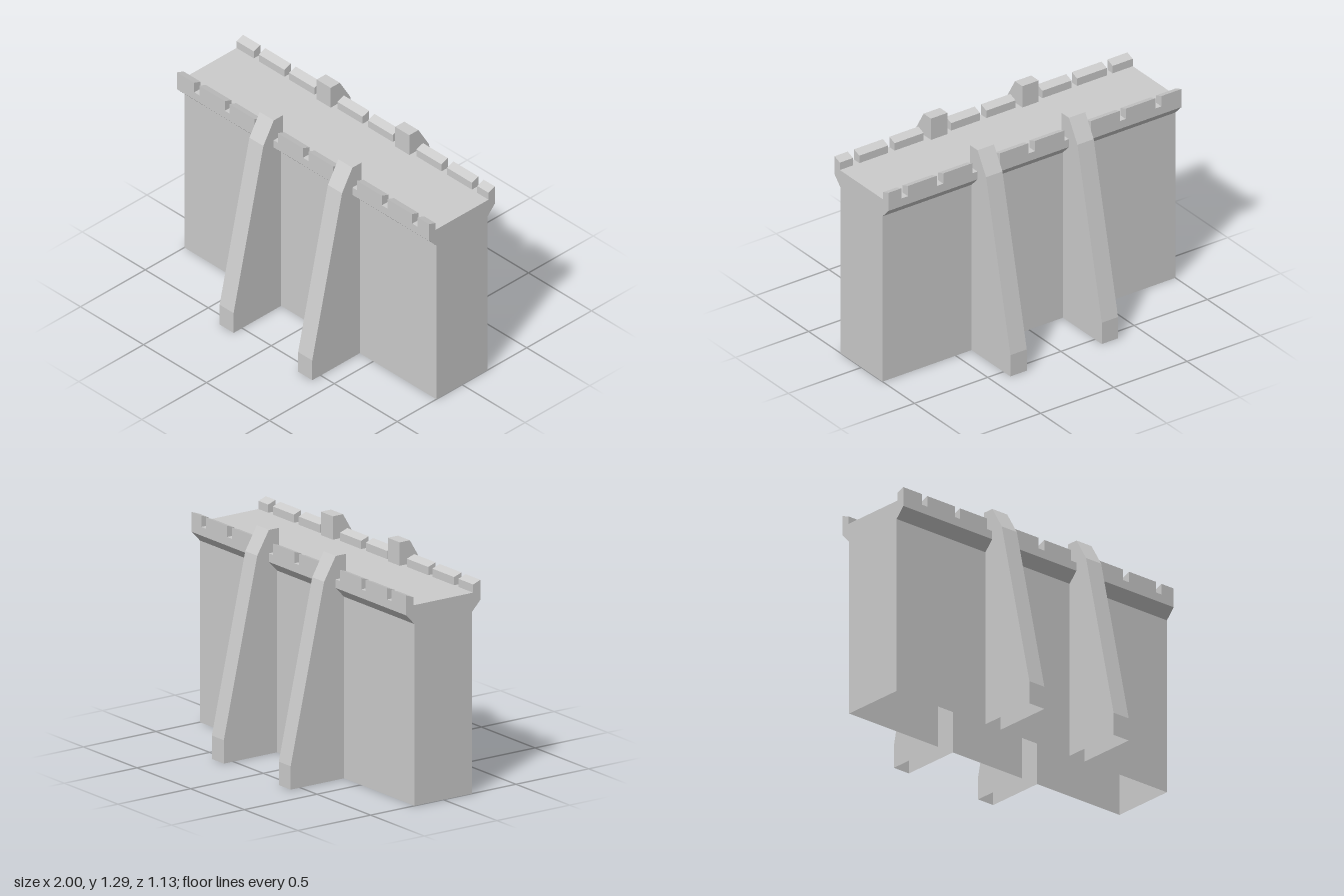
import * as THREE from 'three';
import { mergeGeometries } from 'three/addons/utils/BufferGeometryUtils.js';

const material = new THREE.MeshStandardMaterial({ color: 0xcccccc, flatShading: true, side: THREE.DoubleSide });

// Sweep a [z, y] profile along x from x0 to x1 (left open where the profile is open).
function sweep(profile, x0, x1) {
  const positions = [];
  for (let i = 0; i < profile.length - 1; i++) {
    const [za, ya] = profile[i], [zb, yb] = profile[i + 1];
    const a = [x0, ya, za], b = [x1, ya, za], c = [x1, yb, zb], d = [x0, yb, zb];
    positions.push(...a, ...b, ...c, ...a, ...c, ...d);
  }
  const geometry = new THREE.BufferGeometry();
  geometry.setAttribute('position', new THREE.Float32BufferAttribute(positions, 3));
  geometry.computeVertexNormals();
  return geometry;
}

// Flat side face with a [z, y] outline, facing -x or +x.
function cap(outline, x, facing) {
  const shape = new THREE.Shape(outline.map(([z, y]) => new THREE.Vector2(z, y)));
  const geometry = new THREE.ShapeGeometry(shape).rotateY(-Math.PI / 2).translate(x, 0, 0);
  if (facing > 0) geometry.index.array.reverse();
  const flat = geometry.toNonIndexed();
  flat.deleteAttribute('uv');
  flat.computeVertexNormals();
  return flat;
}

function prism(open, outline, x0, x1) {
  return mergeGeometries([sweep(open, x0, x1), cap(outline, x0, -1), cap(outline, x1, 1)]);
}

function addMesh(parent, name, geometry) {
  const mesh = new THREE.Mesh(geometry, material);
  mesh.name = name;
  parent.add(mesh);
}

const DECK = 1.16;
const wallProfile = [[0.198, 0], [0.198, 1.05], [0.255, 1.11], [0.255, DECK]];
const merlonProfile = [[0.255, DECK], [0.255, 1.225], [0.205, 1.207], [0.205, DECK]];
const buttressProfile = [[0.565, 0], [0.565, 0.135], [0.335, DECK], [0.255, 1.295], [0.185, 1.295], [0.185, DECK]];

const wallSpans = [[-1, -0.343], [-0.232, 0.28], [0.392, 1]];
const buttressSpans = [[-0.343, -0.232], [0.28, 0.392]];
const merlonSpans = [
  [-1, -0.863], [-0.823, -0.62], [-0.582, -0.383], [-0.2, 0],
  [0.043, 0.24], [0.428, 0.626], [0.67, 0.867], [0.91, 1],
];

// One long face of the wall with its battlements and buttresses.
function createFace(name, mirrored) {
  const face = new THREE.Group();
  face.name = name;
  const place = ([a, b]) => (mirrored ? [-b, -a] : [a, b]);

  for (const span of wallSpans) addMesh(face, 'wallPanel', sweep(wallProfile, ...place(span)));
  for (const span of merlonSpans) {
    addMesh(face, 'merlon', prism([...merlonProfile, merlonProfile[0]], merlonProfile, ...place(span)));
  }
  // Buttresses are hollow towards the wall and open below
  const outline = [...buttressProfile, ...[...wallProfile].reverse()];
  for (const span of buttressSpans) addMesh(face, 'buttress', prism(buttressProfile, outline, ...place(span)));

  if (mirrored) face.rotation.y = Math.PI;
  return face;
}

export function createModel() {
  const model = new THREE.Group();
  model.name = 'fortressWall';
  model.add(createFace('frontFace', false), createFace('backFace', true));

  // Walkway on top
  addMesh(model, 'walkway', sweep([[0.255, DECK], [-0.255, DECK]], -1, 1));

  // End walls
  const section = [...wallProfile, ...[...wallProfile].reverse().map(([z, y]) => [-z, y])];
  addMesh(model, 'leftEnd', cap(section, 1, 1));
  addMesh(model, 'rightEnd', cap(section, -1, -1));
  return model;
}
